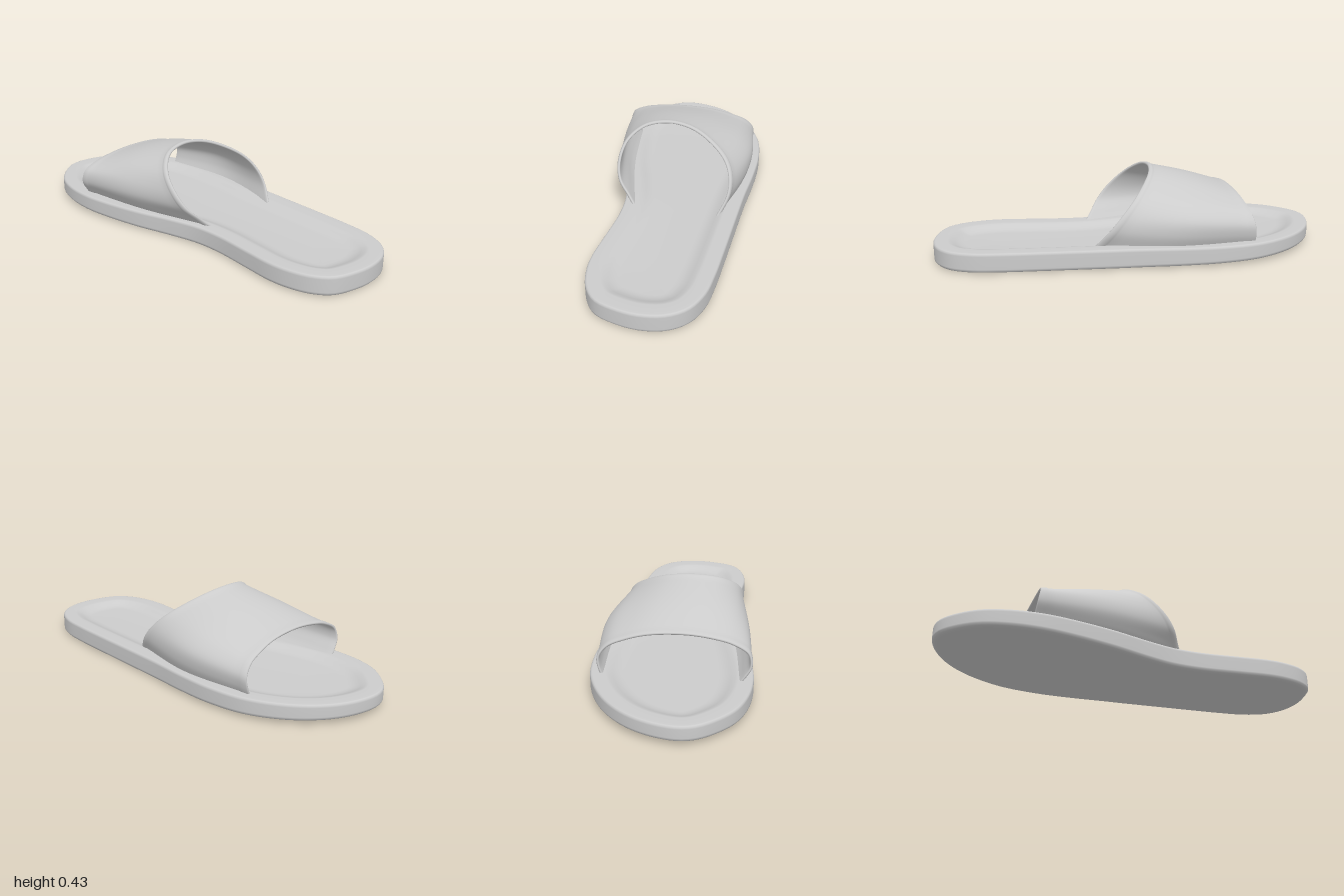
import * as THREE from 'three';

const material = new THREE.MeshStandardMaterial({ color: 0xcccccc, side: THREE.DoubleSide });

// Smooth surface through rings of points; optionally closed along or across the rings.
function skin(name, rings, wrapRings, wrapPoints) {
  const n = rings[0].length, m = rings.length, index = [];
  for (let i = 0; i < (wrapRings ? m : m - 1); i++) {
    for (let j = 0; j < (wrapPoints ? n : n - 1); j++) {
      const i2 = (i + 1) % m, j2 = (j + 1) % n;
      const a = i * n + j, b = i * n + j2, c = i2 * n + j, d = i2 * n + j2;
      index.push(a, c, b, b, c, d);
    }
  }
  const geometry = new THREE.BufferGeometry().setFromPoints(rings.flat());
  geometry.setIndex(index);
  geometry.computeVertexNormals();
  const mesh = new THREE.Mesh(geometry, material);
  mesh.name = name;
  return mesh;
}

// Foot-shaped slab with a rounded edge, toe spring and a sunken footbed.
function makeSole() {
  const outline = [
    [-1, 0.08], [-0.97, -0.05], [-0.9, -0.17], [-0.78, -0.28], [-0.6, -0.365], [-0.4, -0.39],
    [-0.2, -0.38], [0, -0.357], [0.25, -0.337], [0.5, -0.318], [0.67, -0.303], [0.81, -0.28],
    [0.92, -0.225], [0.98, -0.14], [1, -0.03], [0.985, 0.08], [0.94, 0.19], [0.86, 0.25],
    [0.75, 0.28], [0.65, 0.285], [0.5, 0.268], [0.3, 0.245], [0.15, 0.248], [0, 0.28],
    [-0.2, 0.335], [-0.4, 0.373], [-0.55, 0.387], [-0.7, 0.372], [-0.83, 0.325], [-0.93, 0.24],
    [-0.985, 0.16],
  ].map(([x, z]) => new THREE.Vector3(x, 0, z));
  const count = 160;
  const edge = new THREE.CatmullRomCurve3(outline, true).getSpacedPoints(count).slice(0, count);

  const ring = (inset, y, lift) => edge.map((p, j) => {
    const before = edge[(j + count - 1) % count], after = edge[(j + 1) % count];
    const t = after.clone().sub(before).normalize();
    const q = new THREE.Vector3(p.x - t.z * inset, y, p.z + t.x * inset);
    q.y += lift * Math.pow(THREE.MathUtils.clamp((0.1 - p.x) / 1.1, 0, 1), 1.2);
    return q;
  });
  const spine = (y, lift) => edge.map((p) => {
    const x = THREE.MathUtils.clamp(p.x, -0.6, 0.68);
    return new THREE.Vector3(x, y + lift * Math.pow(Math.max(0, (0.1 - x) / 1.1), 1.2), -0.015);
  });

  const lift = 0.022;
  return skin('sole', [
    spine(0, lift), ring(0.03, 0, lift), ring(0.02, 0, lift), ring(0.008, 0.004, lift),
    ring(0.001, 0.012, lift), ring(0, 0.02, lift), ring(0, 0.085, 0), ring(0.001, 0.092, 0),
    ring(0.005, 0.098, 0), ring(0.012, 0.1, 0), ring(0.07, 0.099, 0), ring(0.085, 0.096, 0),
    ring(0.105, 0.086, 0), ring(0.125, 0.077, 0), ring(0.145, 0.072, 0), ring(0.165, 0.07, 0),
    spine(0.068, 0),
  ], false, true);
}

// Wide band over the foot, lofted through toe, middle and heel arches of [z, y] points.
function makeStrap() {
  const toeX = (y) => -0.585 + 0.04 * Math.pow(Math.max(0, (y - 0.1) / 0.2), 2);
  const heelX = (y) => 0.2 - (y - 0.1) * 0.96 + 0.025 * Math.sin(Math.PI * Math.max(0, (y - 0.1) / 0.33));
  const arch = (points, xAt) => new THREE.CatmullRomCurve3(
    points.map(([z, y]) => new THREE.Vector3(xAt(y), y, z)));
  const toe = arch([
    [0.315, 0.078], [0.345, 0.12], [0.372, 0.17], [0.362, 0.225], [0.29, 0.265], [0.2, 0.285],
    [0.07, 0.297], [-0.1, 0.288], [-0.21, 0.262], [-0.29, 0.228], [-0.327, 0.18], [-0.325, 0.13],
    [-0.305, 0.078],
  ], toeX);
  const middle = arch([
    [0.265, 0.078], [0.31, 0.13], [0.342, 0.19], [0.335, 0.255], [0.29, 0.31], [0.2, 0.35],
    [0.07, 0.367], [-0.08, 0.355], [-0.2, 0.32], [-0.3, 0.272], [-0.35, 0.215], [-0.352, 0.15],
    [-0.325, 0.078],
  ], (y) => (toeX(0.1 + (y - 0.1) * 0.75) + heelX(0.1 + (y - 0.1) * 1.22)) / 2);
  const heel = arch([
    [0.17, 0.078], [0.22, 0.13], [0.275, 0.19], [0.293, 0.26], [0.27, 0.34], [0.19, 0.4],
    [0.07, 0.421], [-0.05, 0.408], [-0.15, 0.37], [-0.245, 0.305], [-0.28, 0.24], [-0.28, 0.17],
    [-0.235, 0.078],
  ], heelX);

  // Outline of the band's thickness: [position from toe to heel, height off the middle layer].
  const profile = [[0, 0], [0, 0.004], [0.006, 0.008], [0.055, 0.008], [0.065, 0.005]];
  for (let i = 1; i < 16; i++) profile.push([0.065 + i * 0.054, 0.005]);
  profile.push([0.935, 0.005], [0.95, 0.009], [0.97, 0.011], [0.99, 0.009], [1, 0.004], [1, -0.002], [0.99, -0.005]);
  for (let i = 18; i >= 1; i--) profile.push([i * 0.054, -0.005]);
  profile.push([0.006, -0.005]);

  const steps = 90, rings = profile.map(() => []);
  const lengthwise = (u) => new THREE.CatmullRomCurve3(
    [toe.getPoint(u), middle.getPoint(u), heel.getPoint(u)]);
  for (let j = 0; j <= steps; j++) {
    const u = j / steps;
    const here = lengthwise(u);
    const before = lengthwise(Math.max(0, u - 0.004)), after = lengthwise(Math.min(1, u + 0.004));
    profile.forEach(([v, height], i) => {
      const across = after.getPoint(v).sub(before.getPoint(v));
      const normal = here.getTangent(v).cross(across).normalize();
      rings[i].push(here.getPoint(v).addScaledVector(normal, height));
    });
  }
  return skin('strap', rings, true, false);
}

export function createModel() {
  const model = new THREE.Group();
  model.name = 'slideSandal';
  model.add(makeSole(), makeStrap());
  return model;
}
